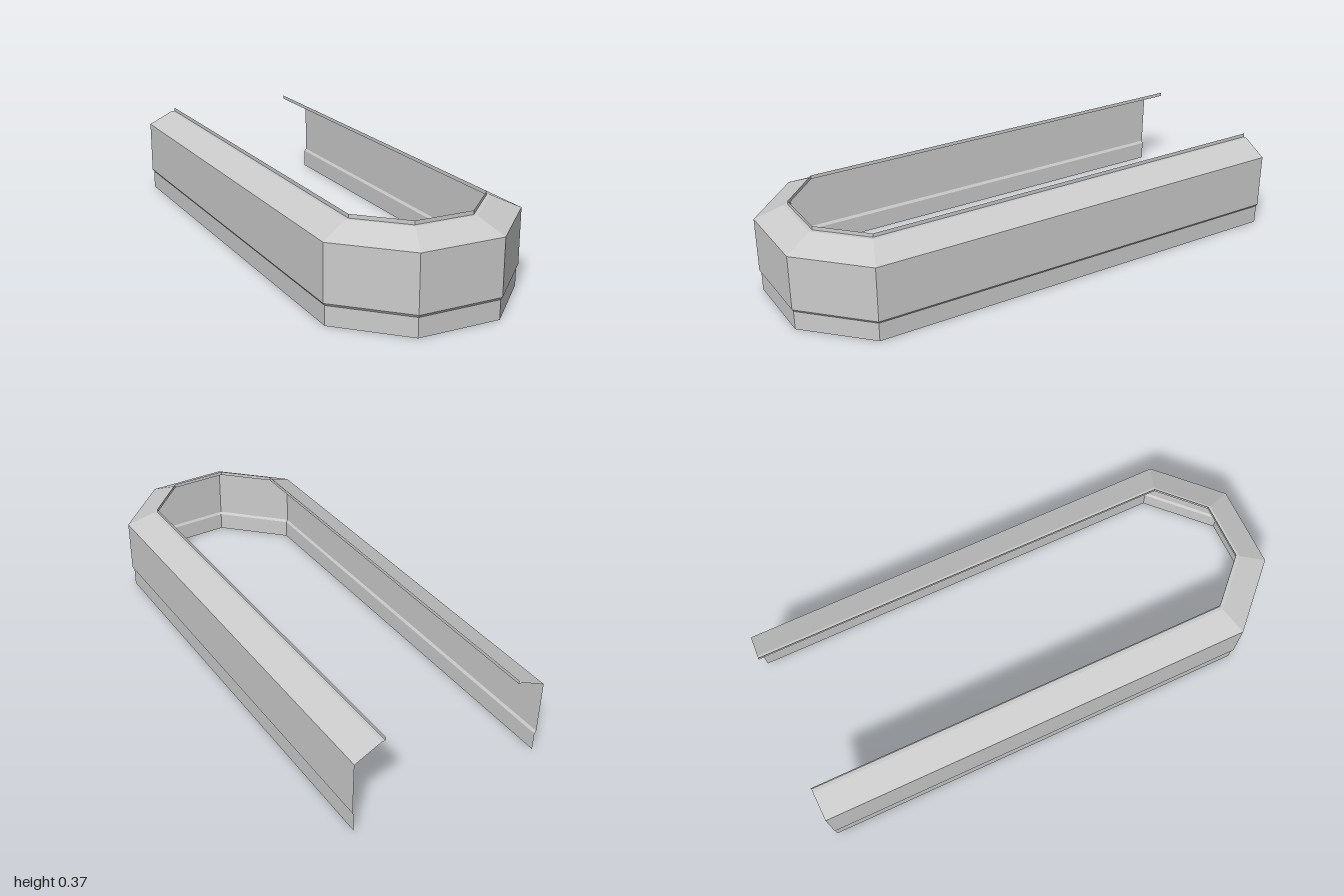
import * as THREE from 'three';

const BACK = -1;

// U-shaped outline with chamfered front corners, open at the back
function outline({ w, c, zc, zf }, y) {
  return [[-w, BACK], [-w, zc], [-c, zf], [c, zf], [w, zc], [w, BACK]]
    .map(([x, z]) => [x, y, z]);
}

// Flat-faced strip between a lower and an upper outline
function band(name, lower, upper, material) {
  const positions = [];
  for (let i = 0; i < lower.length - 1; i++) {
    const a = lower[i], b = lower[i + 1], c = upper[i + 1], d = upper[i];
    positions.push(...a, ...b, ...c, ...a, ...c, ...d);
  }
  const geometry = new THREE.BufferGeometry();
  geometry.setAttribute('position', new THREE.Float32BufferAttribute(positions, 3));
  geometry.computeVertexNormals();
  const mesh = new THREE.Mesh(geometry, material);
  mesh.name = name;
  return mesh;
}

export function createModel() {
  const group = new THREE.Group();
  group.name = 'chamferedSurround';
  const material = new THREE.MeshStandardMaterial({
    color: 0xcccccc, flatShading: true, side: THREE.DoubleSide,
  });

  // Plan sizes: half width, half front width, corner z, front z
  const base = { w: 0.393, c: 0.163, zc: 0.767, zf: 0.994 };
  const wall = { w: 0.4, c: 0.166, zc: 0.77, zf: 1 };
  const crest = { w: 0.295, c: 0.122, zc: 0.726, zf: 0.895 };
  const rim = { w: 0.28, c: 0.117, zc: 0.72, zf: 0.88 };

  // Cross-section from floor to rim; each name is the band above that ring
  const section = [
    [base, 0, 'lowerSkirt'],
    [base, 0.075, 'skirtStep'],
    [wall, 0.085, 'sideWall'],
    [wall, 0.303, 'slopedShoulder'],
    [crest, 0.353, 'innerLedge'],
    [rim, 0.353, 'rimLip'],
    [rim, 0.368],
  ];
  for (let i = 0; i < section.length - 1; i++) {
    const [plan, y, name] = section[i];
    const [nextPlan, nextY] = section[i + 1];
    group.add(band(name, outline(plan, y), outline(nextPlan, nextY), material));
  }
  return group;
}
